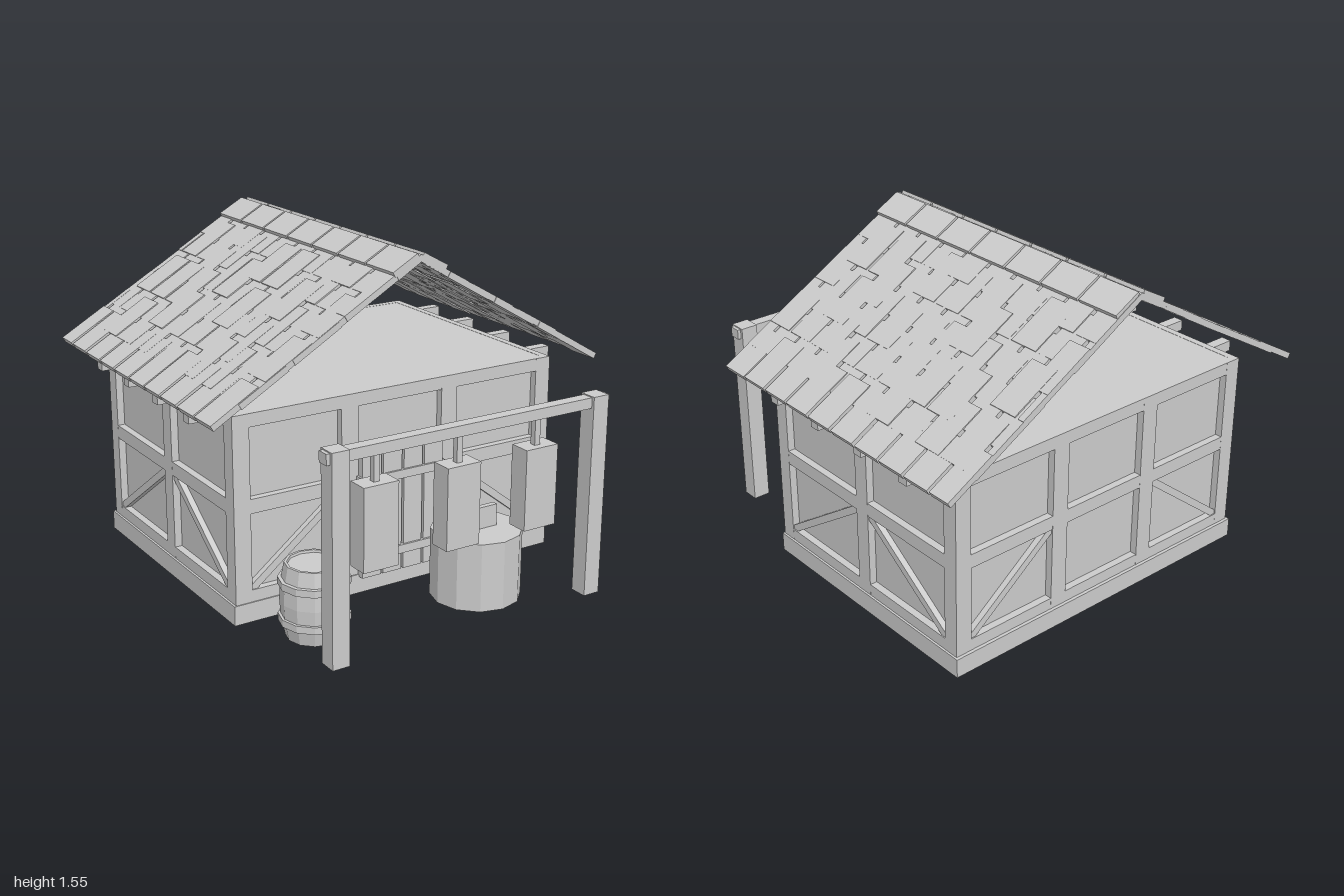
import * as THREE from 'three';

const material = new THREE.MeshStandardMaterial({ color: 0xcccccc, flatShading: true });

function add(parent, name, geometry, x = 0, y = 0, z = 0) {
  const mesh = new THREE.Mesh(geometry, material);
  mesh.name = name;
  mesh.position.set(x, y, z);
  parent.add(mesh);
  return mesh;
}

// Box given by its limits on each axis
function box(parent, name, x0, x1, y0, y1, z0, z1) {
  return add(parent, name, new THREE.BoxGeometry(x1 - x0, y1 - y0, z1 - z0),
    (x0 + x1) / 2, (y0 + y1) / 2, (z0 + z1) / 2);
}

function group(parent, name) {
  const g = new THREE.Group();
  g.name = name;
  parent.add(g);
  return g;
}

function seeded(seed) {
  return () => (seed = (seed * 16807) % 2147483647) / 2147483647;
}

// Timber frame of one wall, outer face at local z = 0, half width w.
// posts: [from, to] spans; braced: [outer, inner] corners of braced panels
function timberFrame(parent, name, w, posts, braced) {
  const g = group(parent, name), depth = 0.035;
  for (const [a, b] of posts) box(g, 'wallPost', a, b, 0.09, 0.94, -depth, 0);
  for (const [a, b] of [[0.09, 0.145], [0.495, 0.56], [0.88, 0.94]])
    box(g, 'wallRail', -w, w, a, b, -depth, -0.0005);
  for (const [outer, inner] of braced) {
    const dx = inner - outer, dy = 0.35;
    const brace = add(g, 'diagonalBrace', new THREE.BoxGeometry(Math.hypot(dx, dy), 0.034, 0.028),
      (outer + inner) / 2, 0.32, -0.02);
    brace.rotation.z = Math.atan(dy / dx);
  }
  return g;
}

function buildHouse(root) {
  const house = group(root, 'house');
  box(house, 'foundation', -0.845, 0.845, 0, 0.09, -0.86, 0.42);
  box(house, 'wallPanels', -0.8, 0.8, 0.08, 0.939, -0.81, 0.38);

  // Front and back walls
  for (const front of [true, false]) {
    const f = timberFrame(house, front ? 'frontFrame' : 'backFrame', 0.835,
      [[-0.835, -0.755], [-0.305, -0.22], [0.22, 0.305], [0.755, 0.835]],
      [[-0.755, -0.305], [0.755, 0.305]]);
    f.position.z = front ? 0.415 : -0.845;
    f.rotation.y = front ? 0 : Math.PI;
  }
  // Side walls
  for (const s of [1, -1]) {
    const f = timberFrame(house, s > 0 ? 'leftFrame' : 'rightFrame', 0.628,
      [[-0.628, -0.555], [-0.04, 0.04], [0.555, 0.628]],
      [[-0.555, -0.04], [0.555, 0.04]]);
    f.position.set(s * 0.835, 0, -0.215);
    f.rotation.y = s * Math.PI / 2;
  }
  // Beams under the eaves
  for (const z of [0.235, -0.065, -0.365, -0.665])
    box(house, 'eaveBeam', -0.955, 0.955, 0.885, 0.935, z - 0.025, z + 0.025);

  // Plank door
  const door = group(house, 'door');
  for (let i = 0; i < 4; i++) {
    const x = -0.22 + i * 0.109;
    box(door, 'doorPlank', x, x + 0.098, 0.08, 0.67 - (i % 2) * 0.01, 0.41, 0.45);
  }
  for (const y of [0.16, 0.52]) box(door, 'doorBar', -0.23, 0.22, y, y + 0.04, 0.405, 0.46);
}

function buildRoof(root) {
  const roof = group(root, 'roof'), random = seeded(41);
  const back = -1, front = 0.555, gap = 0.016, cos = Math.cos(Math.PI / 6);
  for (const s of [1, -1]) {
    const slope = group(roof, s > 0 ? 'leftSlope' : 'rightSlope');
    slope.position.y = 1.545;
    slope.rotation.z = -s * Math.PI / 6;

    // Staggered rows of shingles from eave to ridge
    for (let row = 0; row < 8; row++) {
      const outer = (1 - row * 0.125) / cos;
      const inner = Math.max(0, outer - 0.22 / cos);
      const shift = row % 2 ? 0.08 : 0;
      for (let k = -1; k < 10; k++) {
        const z1 = Math.min(front, 0.4 + shift - k * 0.16 - gap / 2);
        const z0 = Math.max(back, 0.4 + shift - (k + 1) * 0.16 + gap / 2);
        if (z1 - z0 < 0.01) continue;
        const lift = (random() - 0.5) * 0.007;
        const tile = box(slope, 'shingle', Math.min(s * inner, s * outer), Math.max(s * inner, s * outer),
          -0.029 + lift, -0.001 + lift, z0, z1);
        tile.rotation.z = (random() - 0.5) * 0.012;
      }
    }
    // Ridge caps
    for (let i = 0; i < 7; i++) {
      const z = front - i * 0.2235;
      const cap = box(slope, 'ridgeCap', s > 0 ? 0.012 : -0.152, s > 0 ? 0.152 : -0.012,
        -0.009, 0.016, Math.max(back, z - 0.212), z);
      cap.rotation.z = s * 0.02;
    }
  }
  // Ridge pole between the slopes
  box(roof, 'ridgePole', -0.018, 0.018, 1.515, 1.538, back, front);
}

function buildRack(root) {
  const rack = group(root, 'hangingRack'), z = 0.94;
  for (const x of [-0.66, 0.655])
    box(rack, 'rackPost', x - 0.041, x + 0.041, 0, 0.93, z - 0.042, z + 0.042);
  box(rack, 'rackBeam', -0.718, 0.712, 0.877, 0.925, z - 0.028, z + 0.028);
  for (const x of [-0.477, -0.072, 0.333]) {
    box(rack, 'hanger', x - 0.014, x + 0.014, 0.75, 0.88, z - 0.014, z + 0.014);
    box(rack, 'hangingBlock', x - 0.083, x + 0.083, 0.395, 0.76, z - 0.05, z + 0.05);
  }
}

function buildBarrel(root) {
  const barrel = group(root, 'barrel');
  barrel.position.set(-0.59, 0, 0.655);
  const lathe = pts => new THREE.LatheGeometry(pts.map(p => new THREE.Vector2(...p)), 12);
  add(barrel, 'barrelBody', lathe([[0, 0], [0.125, 0], [0.143, 0.085], [0.148, 0.165],
    [0.143, 0.25], [0.127, 0.333], [0.115, 0.333], [0.113, 0.322], [0, 0.322]]));
  // Hoops
  for (const y of [0.085, 0.25])
    add(barrel, 'barrelHoop', lathe([[0.13, y - 0.018], [0.155, y - 0.016], [0.155, y + 0.016], [0.13, y + 0.018]]));
}

function buildTub(root) {
  const tub = group(root, 'tub');
  add(tub, 'tubBody', new THREE.CylinderGeometry(0.205, 0.205, 0.317, 12), 0.225, 0.1585, 0.69);
  box(tub, 'tubHandle', 0.17, 0.312, 0.3, 0.417, 0.692, 0.72);
}

export function createModel() {
  const root = new THREE.Group();
  root.name = 'workshopHouse';
  buildHouse(root);
  buildRoof(root);
  buildRack(root);
  buildBarrel(root);
  buildTub(root);
  return root;
}
